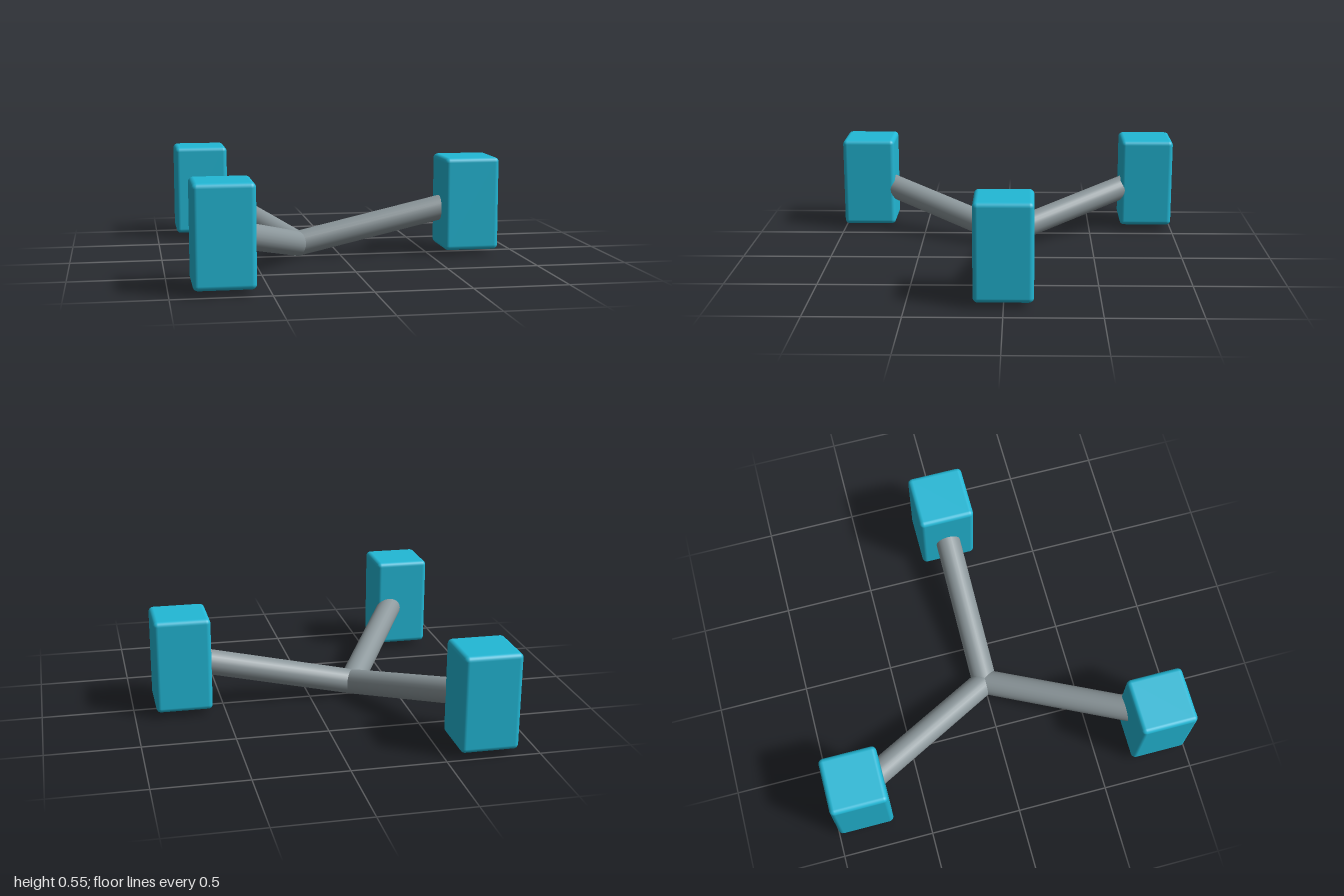
import * as THREE from 'three';
import { RoundedBoxGeometry } from 'three/addons/geometries/RoundedBoxGeometry.js';

export function createModel() {
  const model = new THREE.Group();
  model.name = 'threeArmStand';
  const blue = new THREE.MeshStandardMaterial({ color: 0x22b8d6 });
  const grey = new THREE.MeshStandardMaterial({ color: 0x8c979b });

  const hub = new THREE.Vector3(-0.244, 0.072, 0);
  const reach = 0.973, blockY = 0.292, tubeRadius = 0.07;
  const up = new THREE.Vector3(0, 1, 0);
  const blockGeometry = new RoundedBoxGeometry(0.31, 0.523, 0.31, 3, 0.026);

  // three rising arms, 120 degrees apart, each carrying an upright block
  ['left', 'frontRight', 'backRight'].forEach((side, i) => {
    const angle = (i * Math.PI * 2) / 3;
    const tip = new THREE.Vector3(
      hub.x + reach * Math.cos(angle), blockY, reach * Math.sin(angle));
    const dir = tip.clone().sub(hub).normalize();

    // the inner end runs slightly past the hub so the undersides meet
    const start = hub.clone().addScaledVector(dir, -0.016);
    const length = start.distanceTo(tip);
    const arm = new THREE.Mesh(
      new THREE.CylinderGeometry(tubeRadius, tubeRadius, length, 24), grey);
    arm.name = side + 'Arm';
    arm.position.copy(start).lerp(tip, 0.5);
    arm.quaternion.setFromUnitVectors(up, dir);
    model.add(arm);

    // blocks stay aligned with the axes
    const block = new THREE.Mesh(blockGeometry, blue);
    block.name = side + 'Block';
    block.position.copy(tip);
    model.add(block);
  });
  return model;
}
